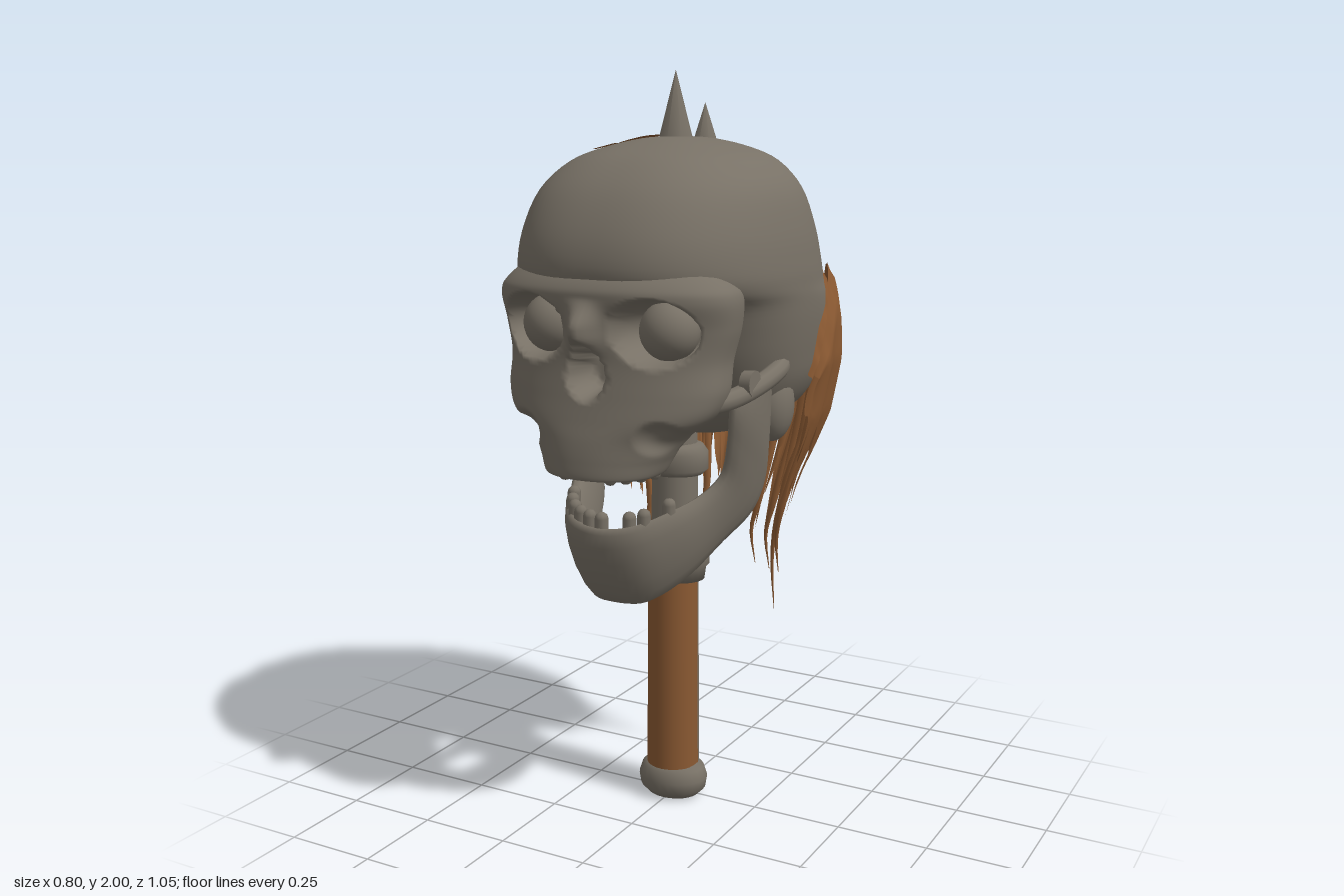
import * as THREE from 'three';

const bone = new THREE.MeshStandardMaterial({ color: 0x787166, side: THREE.DoubleSide });
bone.name = 'bone grey';
const brown = new THREE.MeshStandardMaterial({ color: 0x8a5932, side: THREE.DoubleSide });
brown.name = 'leather brown';

const V = (x, y, z) => new THREE.Vector3(x, y, z);
const smooth = (a, b, x) => {
  const t = Math.min(1, Math.max(0, (x - a) / (b - a)));
  return t * t * (3 - 2 * t);
};
let seed = 7;
const rand = () => (seed = (seed * 16807) % 2147483647) / 2147483647;

// Piecewise linear lookup in rows of [key, value, ...]
function lookup(table, k, col = 1) {
  let i = 0;
  while (i < table.length - 2 && k > table[i + 1][0]) i++;
  const [a, b] = [table[i], table[i + 1]];
  const t = Math.min(1, Math.max(0, (k - a[0]) / (b[0] - a[0])));
  return a[col] + (b[col] - a[col]) * t;
}

// Surface from fn(u, v); u runs around each section, v along the sections
function surface(cols, rows, closed, fn) {
  const pos = [], idx = [], n = closed ? cols : cols + 1;
  for (let j = 0; j <= rows; j++)
    for (let i = 0; i < n; i++) pos.push(...fn(i / cols, j / rows).toArray());
  for (let j = 0; j < rows; j++)
    for (let i = 0; i < cols; i++) {
      const a = j * n + i, b = j * n + ((i + 1) % n), c = a + n, d = b + n;
      idx.push(a, b, c, b, d, c);
    }
  const g = new THREE.BufferGeometry();
  g.setAttribute('position', new THREE.Float32BufferAttribute(pos, 3));
  g.setIndex(idx);
  g.computeVertexNormals();
  return g;
}

// Point function for stacked rounded sections [y, halfWidth, zFront, zBack]
function sections(levels, nFront, nBack, middle) {
  const A = new THREE.CatmullRomCurve3(levels.map(l => V(l[0], l[1], 0)), false, 'catmullrom');
  const B = new THREE.CatmullRomCurve3(levels.map(l => V(l[2], l[3], 0)), false, 'catmullrom');
  return (angle, v) => {
    const a = A.getPoint(v), b = B.getPoint(v);
    const s = Math.sin(angle), c = Math.cos(angle), n = c > 0 ? nFront : nBack;
    const r = 1 / Math.pow(Math.abs(s) ** n + Math.abs(c) ** n, 1 / n);
    const mid = b.y + (b.x - b.y) * middle;
    return V(a.y * s * r, a.x, mid + c * r * (c > 0 ? b.x - mid : mid - b.y));
  };
}

// Tapered lock following a few points
function lock(points, radius) {
  const curve = new THREE.CatmullRomCurve3(points);
  return surface(5, 10, true, (u, v) => {
    const r = radius * (1 - v) + 0.0008, a = -u * Math.PI * 2;
    return curve.getPoint(v).add(V(Math.sin(a) * r, 0, Math.cos(a) * r));
  });
}

const cranium = sections([
  [1.04, 0.01, -0.09, -0.11], [1.05, 0.13, 0.0, -0.22], [1.08, 0.21, 0.07, -0.32],
  [1.13, 0.28, 0.13, -0.38], [1.2, 0.325, 0.18, -0.43], [1.28, 0.345, 0.24, -0.45],
  [1.36, 0.358, 0.29, -0.455], [1.42, 0.363, 0.34, -0.452], [1.46, 0.363, 0.42, -0.448],
  [1.51, 0.361, 0.452, -0.44], [1.6, 0.348, 0.435, -0.41], [1.7, 0.315, 0.375, -0.36],
  [1.77, 0.25, 0.29, -0.3], [1.805, 0.17, 0.2, -0.23], [1.827, 0.08, 0.1, -0.13],
  [1.833, 0.01, 0.01, -0.02]], 2.5, 2.1, 0.47);

const faceShape = sections([
  [1.06, 0.02, 0.4, 0.36], [1.03, 0.12, 0.475, 0.27], [1.018, 0.148, 0.497, 0.25],
  [1.06, 0.17, 0.497, 0.22], [1.11, 0.2, 0.49, 0.21], [1.16, 0.27, 0.478, 0.19],
  [1.22, 0.298, 0.465, 0.16], [1.3, 0.3, 0.452, 0.14], [1.38, 0.318, 0.45, 0.13],
  [1.45, 0.325, 0.468, 0.13], [1.49, 0.305, 0.458, 0.13], [1.55, 0.24, 0.4, 0.13]], 2.15, 2.7, 0.5);

// Face with eye sockets, nasal bridge, nose opening and cheek hollows
function facePoint(u, v) {
  const p = faceShape(u * Math.PI * 2, v);
  if (p.z < 0.27) return p;
  const ax = Math.abs(p.x), y = p.y;
  const eye = ((ax - 0.17) / 0.1) ** 2 + ((y - 1.378) / 0.08) ** 2;
  const w = 0.018 + 0.035 * smooth(1.37, 1.25, y);
  const nose = (ax / w) ** 2 + ((y - 1.285) / 0.075) ** 2;
  const hollow = ((ax - 0.19) / 0.06) ** 2 + ((y - 1.12) / 0.05) ** 2;
  p.z += 0.07 * Math.exp(-((ax / 0.04) ** 2)) * smooth(1.46, 1.385, y) * smooth(1.3, 1.37, y);
  p.z -= 0.13 * (1 - smooth(0.6, 1.1, eye)) + 0.1 * (1 - smooth(0.5, 1.15, nose));
  p.z -= 0.03 * (1 - smooth(0, 1, hollow));
  return p;
}

// Lower jaw: upper and lower edges of one half, mirrored
function jawGeometry() {
  const top = [[0.28, 1.25, 0.12], [0.27, 1.19, 0.2], [0.25, 1.08, 0.18], [0.225, 0.99, 0.165],
    [0.19, 0.94, 0.21], [0.145, 0.91, 0.31], [0.085, 0.885, 0.385]];
  const bottom = [[0.285, 1.22, 0.01], [0.275, 1.05, 0.0], [0.255, 0.94, -0.02], [0.23, 0.855, 0.01],
    [0.19, 0.79, 0.1], [0.14, 0.71, 0.21], [0.075, 0.66, 0.29]];
  const full = (h, mid) => new THREE.CatmullRomCurve3([
    ...h.map(p => V(...p)), V(...mid), ...h.slice().reverse().map(p => V(-p[0], p[1], p[2]))], false, 'catmullrom');
  const T = full(top, [0, 0.875, 0.41]), B = full(bottom, [0, 0.655, 0.315]);
  return surface(14, 70, true, (u, v) => {
    const t = T.getPoint(v), b = B.getPoint(v);
    const half = t.clone().sub(b).multiplyScalar(0.5);
    const n = T.getTangent(v).add(B.getTangent(v)).cross(half).normalize();
    const a = u * Math.PI * 2, thick = 0.02 + 0.012 * Math.sin(Math.PI * v);
    return t.add(b).multiplyScalar(0.5).addScaledVector(half, Math.cos(a)).addScaledVector(n, thick * Math.sin(a));
  });
}

// Ragged hair wrapped round the back of the head, angle 0 at the back
const hairSize = [[0.35, 0.22, 0.22], [0.7, 0.23, 0.25], [0.9, 0.28, 0.31], [1.0, 0.325, 0.355],
  [1.1, 0.365, 0.395], [1.25, 0.395, 0.42], [1.35, 0.395, 0.41], [1.53, 0.378, 0.36]];
const hairTop = [[-1.65, 1.3], [-1.45, 1.44], [-1.1, 1.5], [0, 1.52], [0.7, 1.49], [0.88, 1.45],
  [1.0, 1.49], [1.15, 1.5], [1.3, 1.45], [1.5, 1.32], [1.65, 1.2]];
// Columns: hem height, then how deep the tufts hang below it
const hairEnd = [[0, 1.03, 1], [0.5, 0.98, 1], [1.0, 0.98, 0.9], [1.4, 1.05, 0.7], [1.65, 1.1, 0.5]];
const hairPoint = (a, y, s = 1) => V(
  Math.sin(a) * lookup(hairSize, y, 1) * s, y, -0.1 - Math.cos(a) * lookup(hairSize, y, 2) * s);
function hairLayer(scale, tufts) {
  const depth = Array.from({ length: tufts + 1 }, () => 0.06 + 0.26 * rand());
  return surface(tufts * 14, 22, false, (u, v) => {
    const a = (u - 0.5) * 3.25, k = u * tufts, f = Math.abs((k % 1) - 0.5) * 2, side = Math.abs(a);
    const low = lookup(hairEnd, side) - depth[Math.floor(k)] * lookup(hairEnd, side, 2) * (1 - f) ** 1.3
      + 0.06 * f + 0.025 * Math.sin(k * 14);
    const y = lookup(hairTop, a) * v + low * (1 - v);
    const ripple = 0.025 * Math.cos(k * Math.PI * 2) * (1 - v) + 0.012 * Math.sin(a * 9) * v * (1 - v) * 4;
    return hairPoint(a, y, (scale - ripple) * (1 - 0.05 * smooth(0.88, 1, v)));
  });
}

// Thin painted streak lying on the cranium
const streak = (v0, v1, angle, width) => surface(6, 36, false, (u, t) => {
  const v = v0 + (v1 - v0) * t, mid = cranium(angle(t), v);
  const p = cranium(angle(t) + (u - 0.5) * width(t) / Math.hypot(mid.x, mid.z), v);
  return p.multiply(V(1.012, 1, 1.012)).add(V(0, 0.005, 0));
});

export function createModel() {
  const model = new THREE.Group();
  const add = (name, geometry, material, x = 0, y = 0, z = 0) => {
    const m = new THREE.Mesh(geometry, material);
    m.name = name;
    m.position.set(x, y, z);
    model.add(m);
    return m;
  };
  const turned = (name, profile) => add(name,
    new THREE.LatheGeometry(profile.map(p => new THREE.Vector2(...p)), 24), bone, 0, 0, 0.015).scale.z = 0.82;
  const grip = (name, material, from, sweep) => add(name,
    new THREE.CylinderGeometry(0.07, 0.073, 0.55, 18, 1, true, from, sweep), material, 0, 0.375, 0.015);

  // Handle
  turned('pommel', [[0, 0.005], [0.075, 0.01], [0.095, 0.03], [0.1, 0.06], [0.09, 0.09], [0.07, 0.105], [0, 0.105]]);
  grip('handleGrip', brown, -1.75, 3.5);
  grip('handleBack', bone, 1.75, Math.PI * 2 - 3.5);
  turned('lowerCollar', [[0, 0.645], [0.09, 0.645], [0.095, 0.68], [0.105, 0.69], [0.105, 0.72], [0.095, 0.735], [0, 0.735]]);
  add('neckRod', new THREE.CylinderGeometry(0.06, 0.066, 0.5, 20), bone, 0, 0.95, 0.005);
  turned('upperCollar', [[0, 0.93], [0.085, 0.94], [0.1, 0.955], [0.1, 1.0], [0.085, 1.02], [0, 1.03]]);

  // Skull
  add('cranium', surface(72, 60, true, (u, v) => cranium(u * Math.PI * 2, v)), bone);
  add('face', surface(150, 90, true, facePoint), bone);
  add('lowerJaw', jawGeometry(), bone);
  for (const s of [1, -1]) {
    add('eyeball', new THREE.SphereGeometry(0.075, 24, 16), bone, s * 0.168, 1.375, 0.338);
    add('mastoid', new THREE.SphereGeometry(1, 16, 12), bone, s * 0.265, 1.14, -0.05).scale.set(0.055, 0.1, 0.07);
    const arch = new THREE.CatmullRomCurve3([V(s * 0.23, 1.19, 0.34), V(s * 0.285, 1.2, 0.25),
      V(s * 0.315, 1.225, 0.14), V(s * 0.32, 1.25, 0.04), V(s * 0.28, 1.26, -0.06)]);
    add('cheekArch', new THREE.TubeGeometry(arch, 24, 0.026, 10), bone);
    add('cheekStud', new THREE.CylinderGeometry(0.032, 0.034, 0.03, 12), bone, s * 0.312, 1.235, 0.19).rotation.z = Math.PI / 2;
  }

  // Teeth along both dental arches
  const tooth = new THREE.CapsuleGeometry(0.018, 0.035, 3, 8);
  for (let i = -5; i <= 5; i++) {
    const a = i * 0.25, x = Math.sin(a) * 0.135, back = 1 - Math.cos(a);
    if (Math.abs(i) > 1) add('upperTooth', tooth, bone, x, 1.037, 0.475 - back * 0.19);
    if (i % 3 !== 1) add('lowerTooth', tooth, bone, x * 1.1, 0.878 + back * 0.045, 0.39 - back * 0.14);
  }

  // Crown spikes
  add('frontSpike', new THREE.ConeGeometry(0.048, 0.18, 8), bone, 0, 1.91, 0);
  add('rearSpike', new THREE.ConeGeometry(0.04, 0.12, 8), bone, 0, 1.86, -0.165);

  // Streaks of brown on the scalp
  const bend = [[0, -1.7], [0.35, -1.6], [0.6, -1.42], [0.8, -1.42], [0.92, -1.5], [1, -1.57]];
  add('scalpStreak', streak(0.6, 0.965, t => lookup(bend, t), t => 0.03 + 0.04 * smooth(0.7, 0.95, t)), brown);
  add('streakBranch', streak(0.84, 0.875, t => -1.13 - 0.15 * t, () => 0.03), brown);
  add('smallStreak', streak(0.67, 0.79, t => -1.08 - 0.1 * t, t => 0.04 * Math.sin(Math.PI * t) + 0.004), brown);

  // Hair: two ragged layers, hanging locks and long thin strands
  add('outerHair', hairLayer(1, 13), brown);
  add('innerHair', hairLayer(0.95, 17), brown);
  for (let i = 0; i < 14; i++) {
    const a = -1.3 + (2.6 * (i + rand())) / 14, end = 0.74 + 0.22 * rand();
    add('hairLock', lock([hairPoint(a, 1.2, 0.93), hairPoint(a + 0.05, 1.0, 0.94),
      hairPoint(a + 0.1 * (rand() - 0.5), end, 0.95)], 0.024), brown);
  }
  const strands = [[-0.85, 0.35], [-0.6, 0.34], [-0.75, 0.5], [-1.1, 0.5], [-0.4, 0.55],
    [0.35, 0.6], [0.9, 0.5], [1.05, 0.62], [0.65, 0.6], [-0.95, 0.6]];
  for (const [a, end] of strands)
    add('longStrand', lock([hairPoint(a, 1.1, 0.94), hairPoint(a + 0.04, 0.8, 0.95),
      hairPoint(a - 0.05, (end + 0.8) / 2), hairPoint(a, end, 1.05)], 0.014), brown);

  return model;
}
